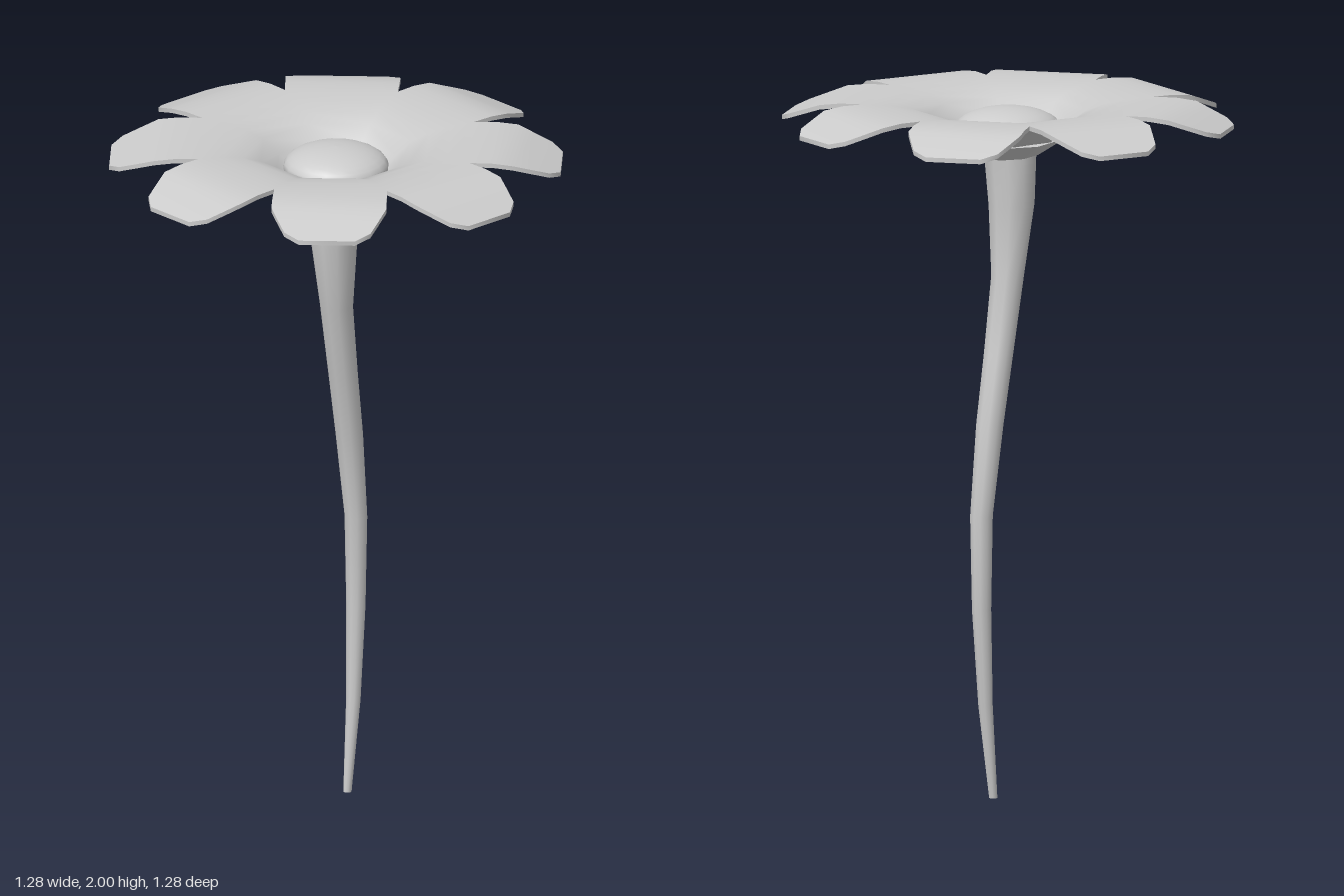
import * as THREE from 'three';
import { mergeGeometries, toCreasedNormals } from 'three/addons/utils/BufferGeometryUtils.js';

const material = () => new THREE.MeshStandardMaterial({ color: 0xcccccc, side: THREE.DoubleSide });

function meshOf(name, geometry) {
  const mesh = new THREE.Mesh(geometry, material());
  mesh.name = name;
  return mesh;
}

// One petal with its wedge of the bowl, pointing to +z. Rows: distance, height, half width.
function petalGeometry() {
  const slope = Math.tan(Math.PI / 8);
  const rows = [
    [0, 1.875], [0.11, 1.885], [0.165, 1.93], [0.21, 1.967], [0.26, 1.985], [0.32, 1.995], [0.385, 2],
    [0.45, 2, 0.162], [0.51, 1.993, 0.163], [0.56, 1.975, 0.143], [0.61, 1.957, 0.122], [0.64, 1.945, 0.08],
  ].map(([d, y, w]) => [d, y, w ?? d * slope]);
  const thickness = 0.013;
  const positions = [];
  const index = [];
  // Per row: top left, top right, bottom left, bottom right
  for (const [d, y, w] of rows) {
    for (const h of [y, y - thickness]) positions.push(-w, h, d, w, h, d);
  }
  const quad = (a, b, c, d) => index.push(a, b, c, a, c, d);
  for (let i = 0; i < rows.length - 1; i++) {
    const a = i * 4, b = a + 4;
    quad(a, b, b + 1, a + 1);
    quad(a + 2, a + 3, b + 3, b + 2);
    if (i >= 6) {
      quad(a, a + 2, b + 2, b);
      quad(a + 1, b + 1, b + 3, a + 3);
    }
  }
  const e = (rows.length - 1) * 4;
  quad(e, e + 2, e + 3, e + 1);
  const geometry = new THREE.BufferGeometry();
  geometry.setAttribute('position', new THREE.Float32BufferAttribute(positions, 3));
  geometry.setIndex(index);
  return geometry;
}

// Curved tapering stem from level rings: x, y, z, radius
function stemGeometry() {
  const rings = [
    [0.057, 0, -0.014, 0.012], [0.088, 0.27, -0.023, 0.021], [0.107, 0.55, -0.033, 0.028],
    [0.108, 0.82, -0.034, 0.033], [0.076, 1.08, -0.027, 0.04], [0.038, 1.28, -0.012, 0.043],
    [-0.001, 1.5, 0.003, 0.048], [-0.019, 1.7, 0.012, 0.067], [-0.016, 1.86, 0.015, 0.077],
  ];
  const sides = 10;
  const geometry = new THREE.CylinderGeometry(1, 1, 1, sides, rings.length - 1);
  const p = geometry.attributes.position;
  for (let i = 0; i < p.count; i++) {
    const [x, y, z, r] = rings[Math.round((p.getY(i) + 0.5) * (rings.length - 1))];
    p.setXYZ(i, x + p.getX(i) * r, y, z + p.getZ(i) * r);
  }
  return toCreasedNormals(geometry, 0.8);
}

const lathe = (points, sides) =>
  new THREE.LatheGeometry(points.map(([r, y]) => new THREE.Vector2(r, y)), sides);

export function createModel() {
  const flower = new THREE.Group();
  flower.name = 'flower';

  flower.add(meshOf('stem', stemGeometry()));

  // Eight petals sharing one smooth bowl
  const petals = [];
  for (let i = 0; i < 8; i++) petals.push(petalGeometry().rotateY((i * Math.PI) / 4));
  flower.add(meshOf('petals', toCreasedNormals(mergeGeometries(petals), 0.75)));

  // Faceted cup under the petals, slightly tilted
  const cup = lathe([[0, 0], [0.088, 0], [0.168, 0.048], [0, 0.052]], 8);
  const calyx = meshOf('calyx', toCreasedNormals(cup, 0.4));
  calyx.position.y = 1.845;
  calyx.rotation.z = -0.04;
  flower.add(calyx);

  // Low dome in the middle
  const dome = [[0.145, 1.9]];
  for (let i = 0; i <= 8; i++) {
    const a = (i / 8) * Math.PI / 2;
    dome.push([0.15 * Math.cos(a), 1.923 + 0.06 * Math.sin(a)]);
  }
  flower.add(meshOf('flowerCentre', lathe(dome, 20)));

  return flower;
}
